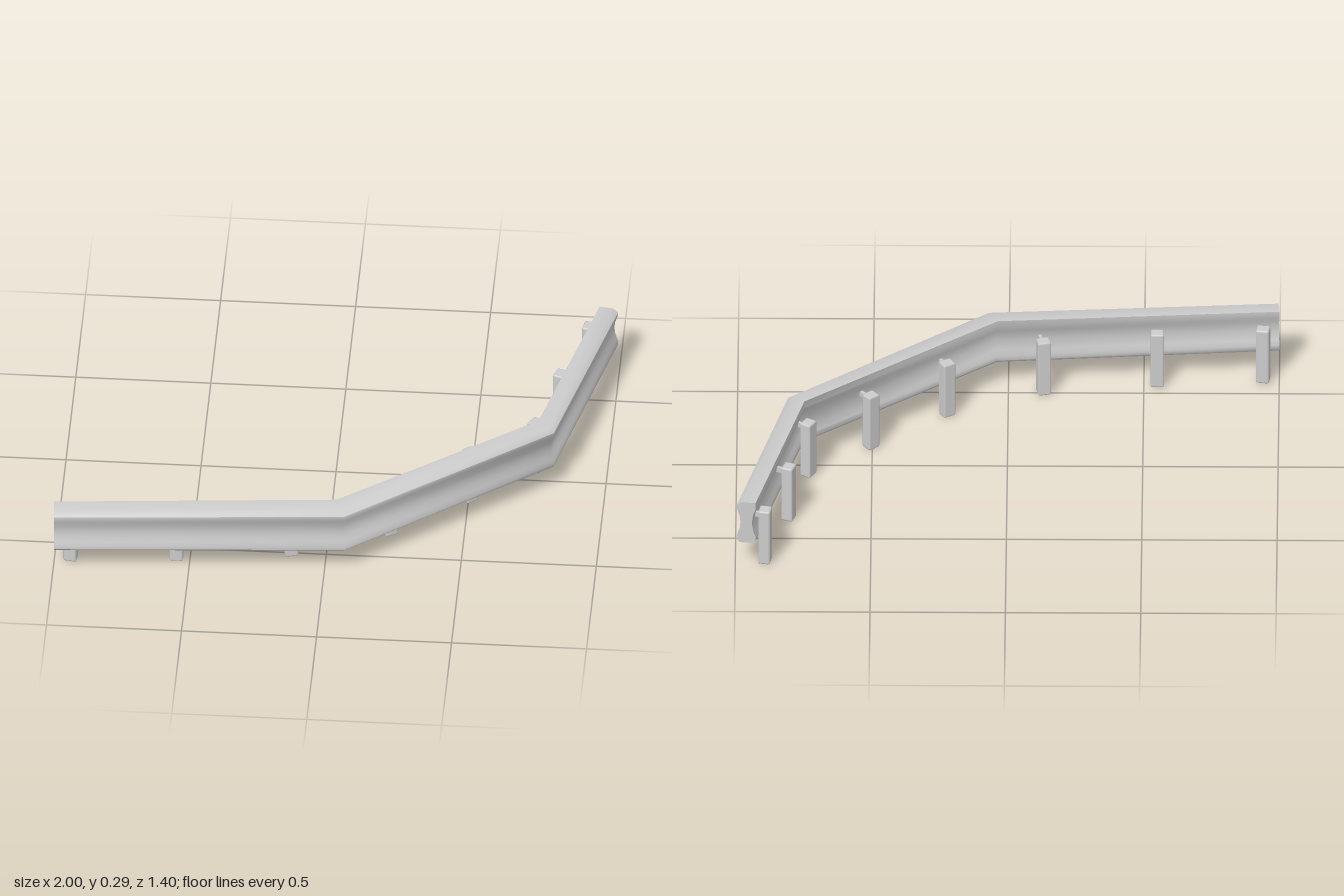
import * as THREE from 'three';
import { toCreasedNormals } from 'three/addons/utils/BufferGeometryUtils.js';
import { RoundedBoxGeometry } from 'three/addons/geometries/RoundedBoxGeometry.js';

const grey = new THREE.MeshStandardMaterial({ color: 0xcccccc, side: THREE.DoubleSide });

// Rail stations: back edge x,z; front edge x,z; bottom and top height
const stations = [
  [-1.0, 0.62, -0.995, 0.697, 0.108, 0.283],
  [0.04, 0.54, 0.075, 0.62, 0.104, 0.288],
  [0.75, 0.0, 0.81, 0.05, 0.098, 0.28],
  [0.925, -0.7, 0.995, -0.69, 0.107, 0.283],
];

// Rail section: [back to front, bottom to top], both 0..1, grooved on both faces
const section = [
  [0, 1], [0.72, 1], [1, 0.91], [1, 0.86], [0.93, 0.76], [0.83, 0.63], [0.8, 0.5],
  [0.83, 0.37], [0.93, 0.24], [1, 0.14], [1, 0.07], [0.85, 0], [0.1, 0], [0, 0.06],
  [0, 0.16], [0.12, 0.28], [0.2, 0.5], [0.12, 0.72], [0, 0.84],
];

function railGeometry() {
  const n = section.length, pos = [], index = [];
  for (const [bx, bz, fx, fz, y0, y1] of stations)
    for (const [o, h] of section)
      pos.push(bx + (fx - bx) * o, y0 + (y1 - y0) * h, bz + (fz - bz) * o);
  for (let i = 0; i < stations.length - 1; i++)
    for (let j = 0; j < n; j++) {
      const a = i * n + j, c = i * n + (j + 1) % n;
      index.push(a, c, a + n, a + n, c, c + n);
    }
  // End caps
  const caps = THREE.ShapeUtils.triangulateShape(section.map(p => new THREE.Vector2(...p)), []);
  const last = (stations.length - 1) * n;
  for (const [a, b, c] of caps) index.push(a, b, c, last + a, last + c, last + b);
  const g = new THREE.BufferGeometry();
  g.setAttribute('position', new THREE.Float32BufferAttribute(pos, 3));
  g.setIndex(index);
  return toCreasedNormals(g, 0.75);
}

// Posts: x, z, turn in degrees
const posts = [
  [-0.94, 0.59, -8], [-0.55, 0.56, 0], [-0.13, 0.502, 13], [0.225, 0.352, 30],
  [0.505, 0.13, 40], [0.735, -0.06, 58], [0.805, -0.36, 70], [0.89, -0.655, 80],
];

export function createModel() {
  const model = new THREE.Group();
  const rail = new THREE.Mesh(railGeometry(), grey);
  rail.name = 'rail';
  model.add(rail);

  const postGeo = new RoundedBoxGeometry(0.05, 0.23, 0.045, 1, 0.007);
  const stemGeo = new THREE.BoxGeometry(0.012, 0.02, 0.06);
  posts.forEach(([x, z, turn], i) => {
    const group = new THREE.Group();
    group.name = 'post' + (i + 1);
    const post = new THREE.Mesh(postGeo, grey);
    post.name = 'upright';
    post.position.y = 0.115;
    // Short stem tying the post to the rail
    const stem = new THREE.Mesh(stemGeo, grey);
    stem.name = 'stem';
    stem.position.set(0, 0.205, 0.04);
    group.add(post, stem);
    group.position.set(x, 0, z);
    group.rotation.y = THREE.MathUtils.degToRad(turn);
    model.add(group);
  });
  return model;
}
